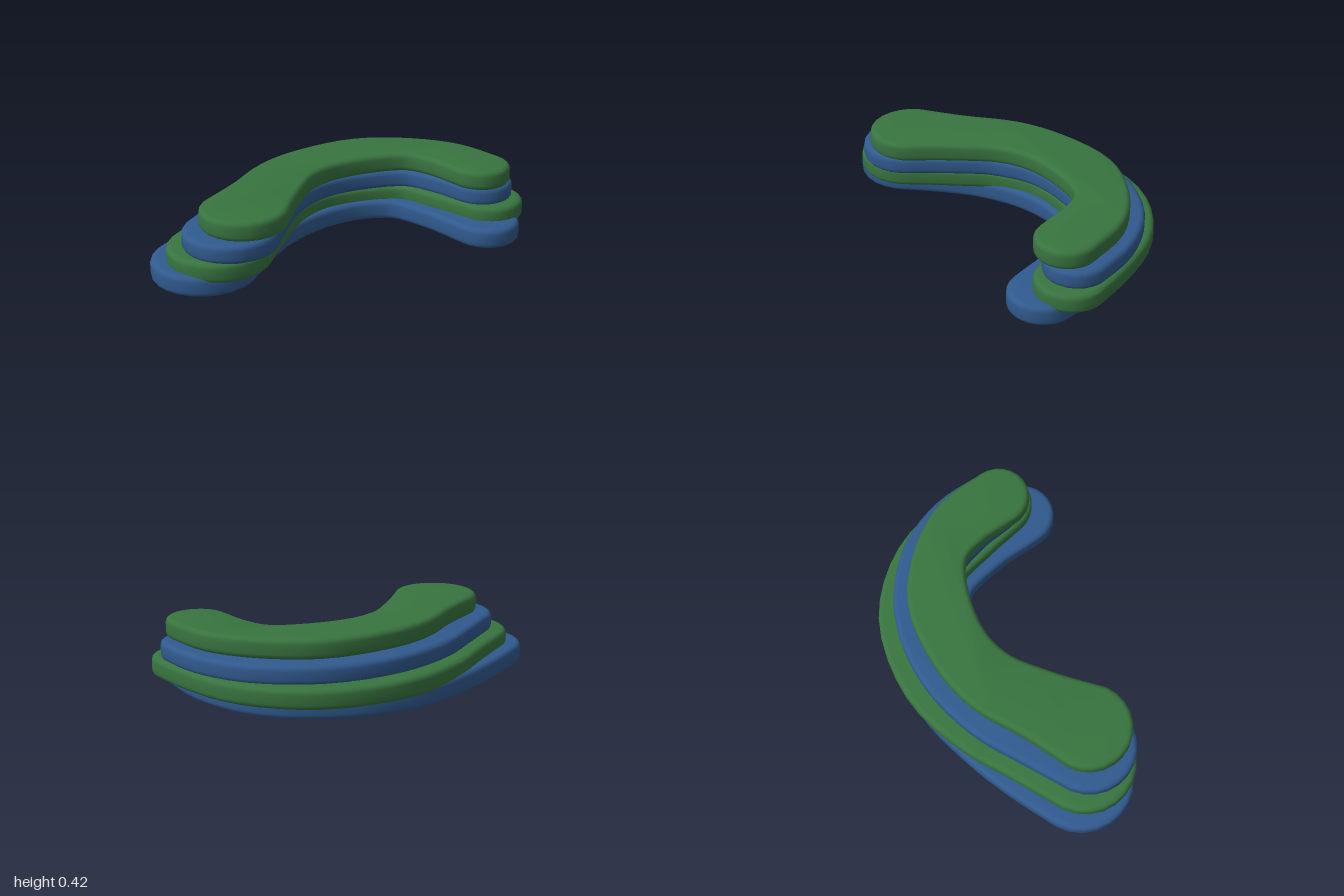
import * as THREE from 'three';
import { toCreasedNormals } from 'three/addons/utils/BufferGeometryUtils.js';

const BLUE = 0x305a8e;
const GREEN = 0x38743f;
const BEVEL = 0.03;

// Spine points as [x, z, half width], from the left leg round to the right end
const bottomSpine = [
  [-0.695, 0.58, 0.302], [-0.635, 0.29, 0.28], [-0.545, 0.01, 0.262], [-0.375, -0.295, 0.257],
  [-0.09, -0.52, 0.23], [0.22, -0.588, 0.212], [0.52, -0.465, 0.215], [0.79, -0.245, 0.197],
];
const lowerMiddleSpine = [
  [-0.61, 0.57, 0.297], [-0.565, 0.24, 0.265], [-0.52, -0.035, 0.25], [-0.355, -0.37, 0.25],
  [-0.045, -0.605, 0.255], [0.285, -0.655, 0.225], [0.56, -0.535, 0.22], [0.787, -0.395, 0.205],
];
const upperMiddleSpine = [
  [-0.54, 0.57, 0.273], [-0.51, 0.265, 0.24], [-0.465, -0.01, 0.22], [-0.31, -0.32, 0.208],
  [-0.035, -0.55, 0.21], [0.28, -0.635, 0.192], [0.54, -0.555, 0.197], [0.735, -0.425, 0.188],
];
const topSpine = [
  [-0.47, 0.54, 0.25], [-0.43, 0.25, 0.205], [-0.38, -0.055, 0.185], [-0.25, -0.285, 0.175],
  [0, -0.5, 0.18], [0.28, -0.58, 0.155], [0.51, -0.525, 0.175], [0.73, -0.37, 0.18],
];

// Plan outline: both sides of the spine joined by round ends
function bandShape(spine) {
  const curve = new THREE.CatmullRomCurve3(spine.map(([x, z, r]) => new THREE.Vector3(x, -z, r)));
  const steps = 28;
  const capSteps = 12;
  const outline = [];
  const addPoint = (t, turn) => {
    const p = curve.getPoint(t);
    const d = curve.getTangent(t);
    const angle = Math.atan2(d.y, d.x) + turn;
    outline.push(new THREE.Vector2(p.x + p.z * Math.cos(angle), p.y + p.z * Math.sin(angle)));
  };
  for (const end of [1, 0]) {
    const side = end ? -Math.PI / 2 : Math.PI / 2;
    for (let i = 0; i < steps; i++) addPoint(end ? i / steps : 1 - i / steps, side);
    for (let i = 0; i < capSteps; i++) addPoint(end, side + (Math.PI * i) / capSteps);
  }
  return new THREE.Shape(outline);
}

// A curved slab with rounded rims, standing between y0 and y1
function createSlab(name, spine, y0, y1, color) {
  const geometry = new THREE.ExtrudeGeometry(bandShape(spine), {
    depth: y1 - y0 - 2 * BEVEL,
    bevelEnabled: true,
    bevelThickness: BEVEL,
    bevelSize: BEVEL,
    bevelOffset: -BEVEL,
    bevelSegments: 4,
  });
  geometry.rotateX(-Math.PI / 2);
  geometry.translate(0, y0 + BEVEL, 0);
  const mesh = new THREE.Mesh(
    toCreasedNormals(geometry, 0.8),
    new THREE.MeshStandardMaterial({ color }));
  mesh.name = name;
  return mesh;
}

export function createModel() {
  const group = new THREE.Group();
  group.name = 'layeredBend';
  group.add(
    createSlab('bottomLayer', bottomSpine, 0, 0.12, BLUE),
    createSlab('lowerMiddleLayer', lowerMiddleSpine, 0.085, 0.2, GREEN),
    createSlab('upperMiddleLayer', upperMiddleSpine, 0.19, 0.3, BLUE),
    createSlab('topLayer', topSpine, 0.305, 0.42, GREEN));
  return group;
}
